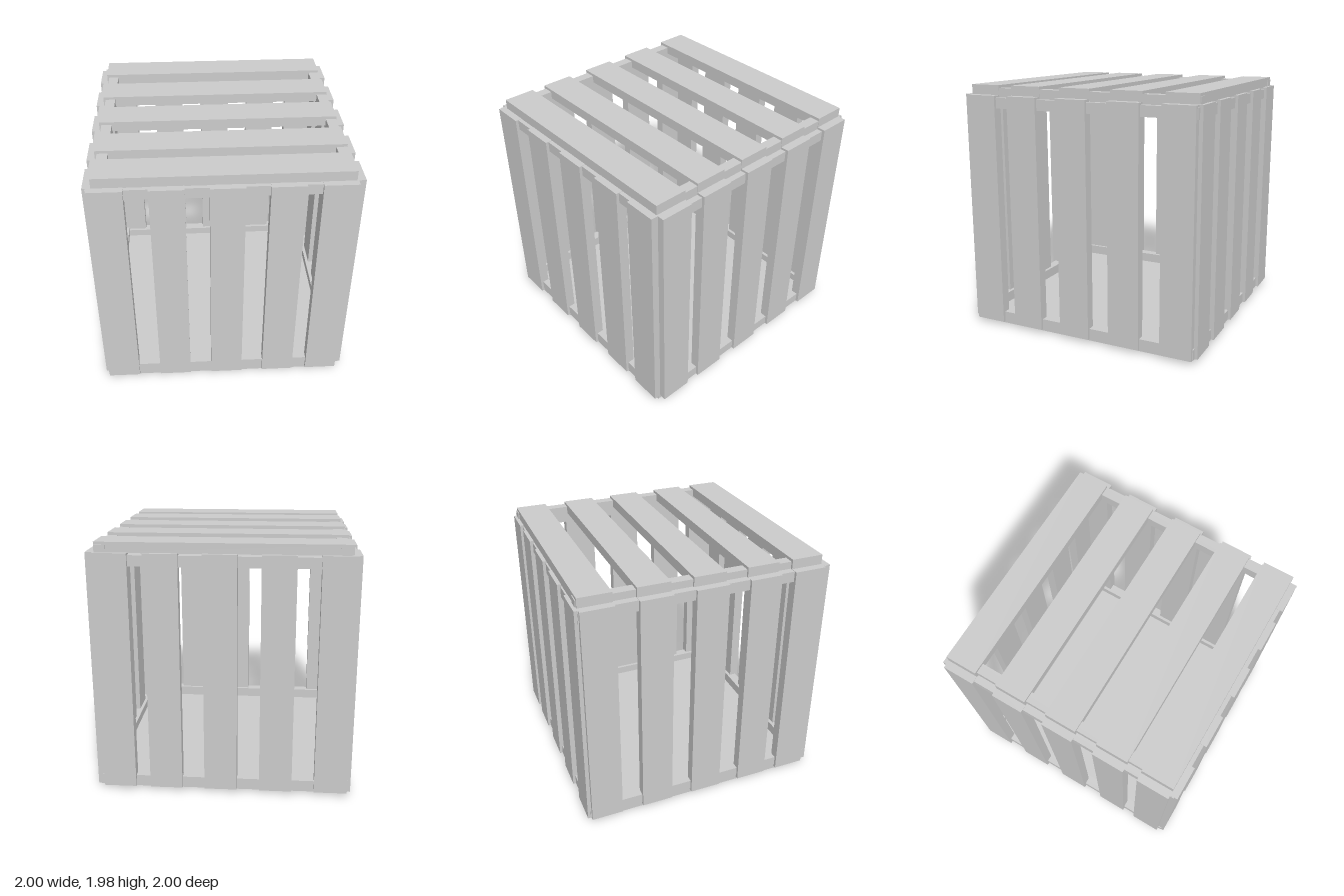
import * as THREE from 'three';

const material = new THREE.MeshStandardMaterial({ color: 0xcccccc, flatShading: true });

// Start and end of the five slats, shared by the walls and the lid
const SLATS = [[-0.97, -0.715], [-0.54, -0.285], [-0.11, 0.145], [0.32, 0.575], [0.69, 0.945]];

// Box given by its minimum and maximum on each axis
function addBox(parent, name, [x0, x1], [y0, y1], [z0, z1]) {
  const mesh = new THREE.Mesh(new THREE.BoxGeometry(x1 - x0, y1 - y0, z1 - z0), material);
  mesh.name = name;
  mesh.position.set((x0 + x1) / 2, (y0 + y1) / 2, (z0 + z1) / 2);
  parent.add(mesh);
}

// One wall: upright slats on a top and a bottom rail.
// axis is the direction the wall faces, side its sign, drop lowers the rails.
function addWall(parent, name, axis, side, drop) {
  const wall = new THREE.Group();
  wall.name = name;
  const across = (a, b) => (side > 0 ? [a, b] : [-b, -a]);
  const place = (part, along, y, depth) =>
    axis === 'z' ? addBox(wall, part, along, y, depth) : addBox(wall, part, depth, y, along);

  for (const span of SLATS) place('wallSlat', span, [0.03, 1.905], across(0.92, 1));
  const railDepth = across(0.893, 0.977);
  place('bottomRail', [-0.977, 0.94], [0.045 - drop, 0.13 - drop], railDepth);
  place('topRail', [-0.977, 0.94], [1.82 - drop, 1.903 - drop], railDepth);
  parent.add(wall);
}

export function createModel() {
  const crate = new THREE.Group();
  crate.name = 'slattedCrate';

  // Solid floor panel
  addBox(crate, 'floor', [-0.965, 0.945], [0, 0.045], [-0.935, 0.965]);

  // Four slatted walls
  addWall(crate, 'frontWall', 'z', 1, 0);
  addWall(crate, 'backWall', 'z', -1, 0.015);
  addWall(crate, 'leftWall', 'x', 1, 0.015);
  addWall(crate, 'rightWall', 'x', -1, 0);

  // Lid: boards across two cleats
  const lid = new THREE.Group();
  lid.name = 'lid';
  for (const span of SLATS) addBox(lid, 'lidBoard', [-0.937, 0.933], [1.902, 1.982], span);
  for (const x of [-0.92, 0.85]) addBox(lid, 'lidCleat', [x, x + 0.08], [1.877, 1.96], [-0.977, 0.94]);
  crate.add(lid);

  return crate;
}
